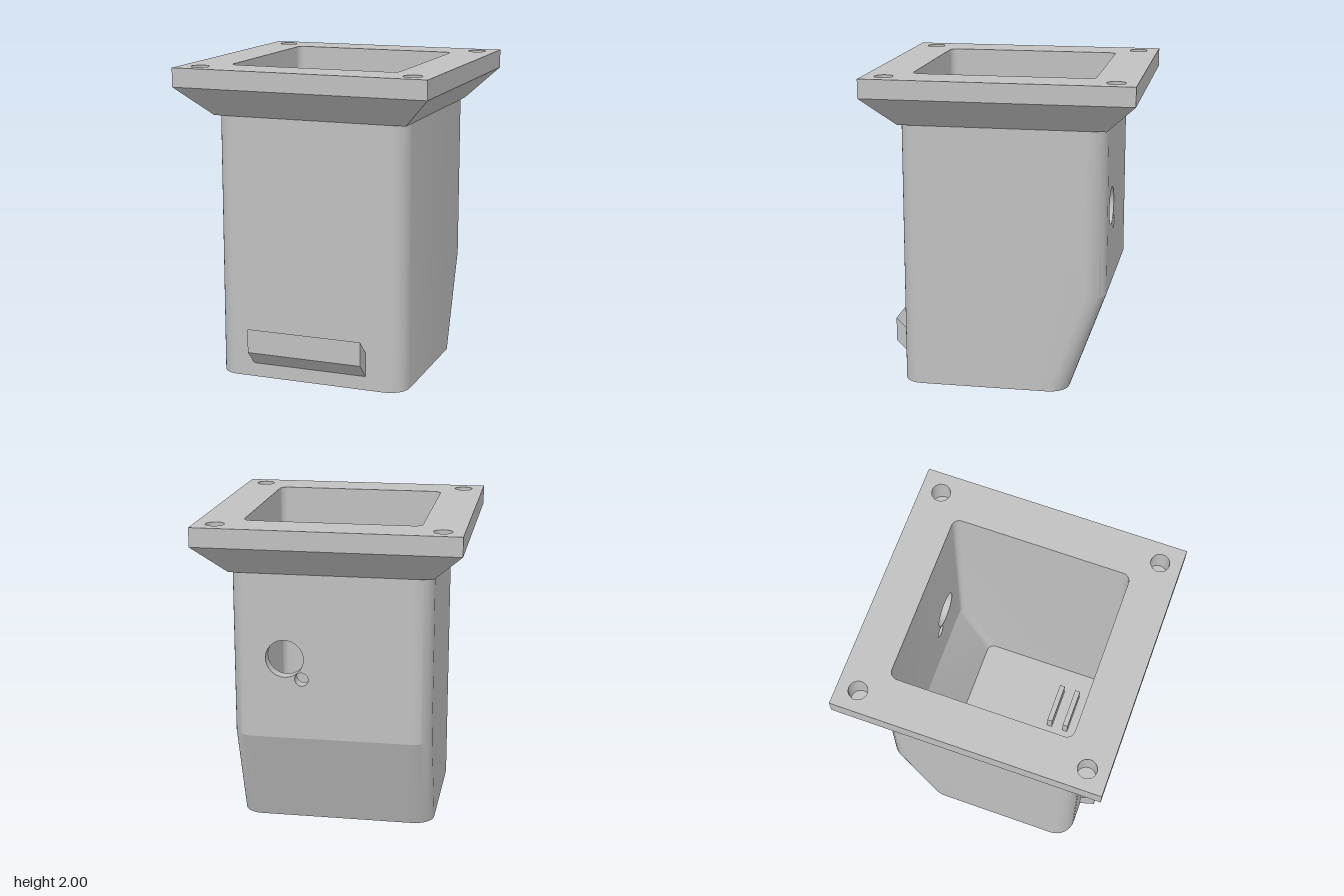
import * as THREE from 'three';
import { mergeGeometries, toCreasedNormals } from 'three/addons/utils/BufferGeometryUtils.js';

const grey = new THREE.MeshStandardMaterial({ color: 0xc0c0c0 });
grey.name = 'grey plastic';

// Horizontal rounded rectangle, starting and ending on the back edge
function ring(y, hx, back, front, r) {
  const pts = [], n = r > 0 ? 8 : 0;
  [[1, back + r], [1, front - r], [-1, front - r], [-1, back + r]].forEach(([s, z], c) => {
    for (let i = 0; i <= n; i++) {
      const a = (c - 1 + (n ? i / n : 0)) * Math.PI / 2;
      pts.push(new THREE.Vector3(s * (hx - r) + r * Math.cos(a), y, z + r * Math.sin(a)));
    }
  });
  return pts;
}

// Skin between rings: bottom to top faces outward, top to bottom faces inward
function loft(rings, closed = true) {
  const pts = [];
  for (let k = 0; k + 1 < rings.length; k++) {
    const a = rings[k], b = rings[k + 1], n = a.length;
    for (let i = 0; i < (closed ? n : n - 1); i++) {
      const j = (i + 1) % n;
      pts.push(a[i], b[i], b[j], a[i], b[j], a[j]);
    }
  }
  return new THREE.BufferGeometry().setFromPoints(pts);
}

const circle = (x, y, r) => new THREE.Path().absarc(x, y, r, 0, Math.PI * 2, true);
const polygon = (pts) => new THREE.Shape(pts.map(([x, y]) => new THREE.Vector2(x, y)));

// Flat horizontal face bounded by a ring, with optional hole paths
function cap(outline, up, holes = []) {
  const s = up ? -1 : 1;
  const shape = polygon(outline.map((p) => [p.x, s * p.z]));
  shape.holes.push(...holes);
  return new THREE.ShapeGeometry(shape, 16).rotateX(s * Math.PI / 2).translate(0, outline[0].y, 0);
}

// Ring as a hole path for a cap facing the same way
const ringHole = (pts, up) => new THREE.Path(pts.map((p) => new THREE.Vector2(p.x, up ? -p.z : p.z)));

// Inward-facing wall of a round hole along y
const bore = (r, depth) => new THREE.CylinderGeometry(r, r, depth, 32, 1, true).scale(-1, 1, 1);

function mesh(name, geos) {
  const parts = geos.map((g) => {
    const p = g.index ? g.toNonIndexed() : g;
    p.deleteAttribute('uv');
    p.deleteAttribute('normal');
    return p;
  });
  const merged = mergeGeometries(parts);
  merged.computeVertexNormals();
  const m = new THREE.Mesh(toCreasedNormals(merged, 0.3), grey);
  m.name = name;
  return m;
}

// Round openings through the back wall: x, y, radius
const ports = [[0.287, 1.15, 0.12], [0.18, 1.02, 0.043]];

function backPanel(y0, y1, z, facesBack) {
  const s = facesBack ? -1 : 1;
  const shape = polygon([[-0.5, y0], [0.5, y0], [0.5, y1], [-0.5, y1]]);
  ports.forEach(([x, y, r]) => shape.holes.push(circle(s * x, y, r)));
  return new THREE.ShapeGeometry(shape, 16).rotateY(facesBack ? Math.PI : 0).translate(0, 0, z);
}

export function createModel() {
  const model = new THREE.Group();
  model.name = 'flanged housing';

  // Outer body with sloped lower back
  const foot = ring(0, 0.63, -0.42, 0.65, 0.13);
  const bend = ring(0.63, 0.63, -0.65, 0.65, 0.13);
  const neck = ring(1.69, 0.63, -0.65, 0.65, 0.13);
  model.add(mesh('outerBody', [
    loft([foot, bend]), loft([bend, neck], false), cap(foot, false), backPanel(0.63, 1.69, -0.65, true),
  ]));

  // Inner cavity
  const floor = ring(0.08, 0.55, -0.37, 0.57, 0.05);
  const innerBend = ring(0.63, 0.55, -0.57, 0.57, 0.05);
  const mouth = ring(2, 0.55, -0.57, 0.57, 0.05);
  model.add(mesh('innerCavity', [
    loft([mouth, innerBend], false), loft([innerBend, floor]), cap(floor, true), backPanel(0.63, 2, -0.57, false),
  ]));

  // Walls of the back openings
  model.add(mesh('backPorts', ports.map(([x, y, r]) => bore(r, 0.08).rotateX(Math.PI / 2).translate(x, y, -0.61))));

  // Flange with tapered underside and blind bolt holes
  const low = ring(1.69, 0.63, -0.65, 0.65, 0);
  const mid = ring(1.88, 0.82, -0.84, 0.84, 0);
  const top = ring(2, 0.82, -0.84, 0.84, 0);
  const bolts = [[-0.69, -0.71], [0.69, -0.71], [-0.69, 0.71], [0.69, 0.71]];
  const depth = 0.16;
  model.add(mesh('flange', [
    loft([low, mid, top]),
    cap(low, false, [ringHole(neck, false)]),
    cap(top, true, [ringHole(mouth, true), ...bolts.map(([x, z]) => circle(x, -z, 0.058))]),
  ]));
  model.add(mesh('boltHoles', bolts.flatMap(([x, z]) => [
    bore(0.058, depth).translate(x, 2 - depth / 2, z),
    new THREE.CircleGeometry(0.058, 32).rotateX(-Math.PI / 2).translate(x, 2 - depth, z),
  ])));

  // Slanted hook on the front
  const hook = polygon([[0.65, 0.09], [0.75, 0.19], [0.75, 0.345], [0.65, 0.245]]);
  model.add(mesh('frontHook', [
    new THREE.ExtrudeGeometry(hook, { depth: 0.76, bevelEnabled: false }).rotateY(-Math.PI / 2).translate(0.38, 0, 0),
  ]));

  // Paired holder ribs on the cavity floor
  const ribs = [];
  for (const x of [-0.237, 0.237]) for (const z of [0.257, 0.373]) {
    ribs.push(new THREE.BoxGeometry(0.28, 0.12, 0.036).translate(x, 0.14, z));
  }
  model.add(mesh('floorRibs', ribs));

  return model;
}
